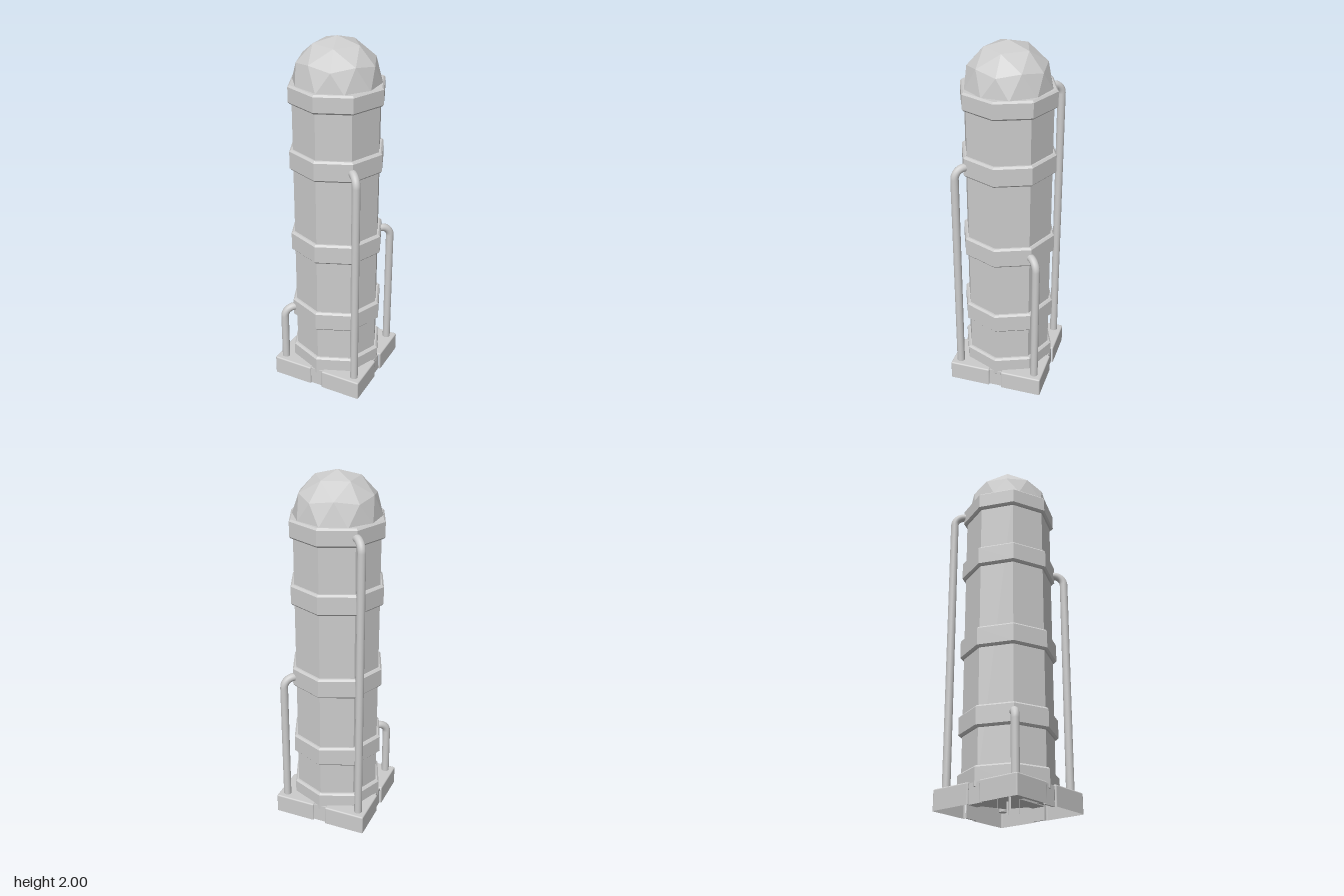
import * as THREE from 'three';
import { RoundedBoxGeometry } from 'three/addons/geometries/RoundedBoxGeometry.js';

const grey = new THREE.MeshStandardMaterial({ color: 0xcccccc });
const greyShell = new THREE.MeshStandardMaterial({ color: 0xcccccc, side: THREE.DoubleSide });

function add(parent, name, geometry, material = grey) {
  const mesh = new THREE.Mesh(geometry, material);
  mesh.name = name;
  parent.add(mesh);
  return mesh;
}

// Faceted normals
function flat(geometry) {
  const g = geometry.index ? geometry.toNonIndexed() : geometry;
  g.computeVertexNormals();
  return g;
}

// Octagonal band with softened edges
function ringGeometry(y0, y1) {
  const b = 0.01, r = 0.262;
  const profile = [[0.2, y0], [r - b, y0], [r, y0 + b], [r, y1 - b], [r - b, y1], [0.2, y1]];
  return flat(new THREE.LatheGeometry(profile.map(p => new THREE.Vector2(...p)), 8));
}

// Corner foot: rounded block, hollow underneath and open towards the centre
function footGeometry() {
  const inner = 0.035, outer = 0.27, h = 0.11, w = outer - inner;
  const src = new RoundedBoxGeometry(w, 2 * h, w, 2, 0.008);
  const p = src.attributes.position, n = src.attributes.normal;
  const pos = [], nor = [];
  for (let i = 0; i < p.count; i += 3) {
    const ids = [i, i + 1, i + 2];
    if (ids.every(k => p.getY(k) <= 0)) continue;
    if (ids.every(k => n.getX(k) < -0.95) || ids.every(k => n.getZ(k) < -0.95)) continue;
    for (const k of ids) {
      pos.push(p.getX(k) + (inner + outer) / 2, Math.max(0, p.getY(k)), p.getZ(k) + (inner + outer) / 2);
      nor.push(n.getX(k), n.getY(k), n.getZ(k));
    }
  }
  const g = new THREE.BufferGeometry();
  g.setAttribute('position', new THREE.Float32BufferAttribute(pos, 3));
  g.setAttribute('normal', new THREE.Float32BufferAttribute(nor, 3));
  return g;
}

// Riser pipe on a corner, bending inwards to the tower at height y
function pipe(name, sx, sz, y) {
  const group = new THREE.Group();
  group.name = name;
  const c = 0.223, r = 0.022, bend = 0.055, y0 = 0.07;
  const at = (d, h) => new THREE.Vector3(sx * d, h, sz * d);
  const riser = new THREE.CylinderGeometry(r, r, y - bend - y0, 14);
  riser.translate(sx * c, (y - bend + y0) / 2, sz * c);
  add(group, 'riser', riser);
  const inner = c - bend / Math.SQRT2;
  const k = 0.45;
  const elbow = new THREE.CubicBezierCurve3(
    at(c, y - bend), at(c, y - bend * k), at(inner + (c - inner) * (1 - k), y), at(inner, y));
  add(group, 'elbow', new THREE.TubeGeometry(elbow, 8, r, 14));
  add(group, 'inlet', new THREE.TubeGeometry(new THREE.LineCurve3(at(inner, y), at(0.155, y)), 1, r, 14));
  return group;
}

export function createModel() {
  const model = new THREE.Group();
  model.name = 'tower';

  // Octagonal body
  const body = new THREE.CylinderGeometry(0.242, 0.242, 1.66, 8);
  body.translate(0, 0.91, 0);
  add(model, 'body', flat(body));

  // Bands around the body
  for (const [y0, y1] of [[0.075, 0.19], [0.385, 0.5], [0.82, 0.935], [1.305, 1.42], [1.67, 1.77]])
    add(model, 'band', ringGeometry(y0, y1));

  // Faceted dome, turned so a vertex sits at the top
  const dome = new THREE.IcosahedronGeometry(0.235, 1);
  dome.rotateZ(-Math.atan(2 / (1 + Math.sqrt(5))));
  dome.translate(0, 1.765, 0);
  add(model, 'dome', flat(dome));

  // Feet and the recessed pieces between them
  const foot = footGeometry();
  for (let i = 0; i < 4; i++) {
    const corner = add(model, 'foot', foot, greyShell);
    corner.rotation.y = i * Math.PI / 2;
    const link = new THREE.BoxGeometry(0.076, 0.105, 0.01);
    link.translate(0, 0.0525, 0.253);
    add(model, 'footLink', link).rotation.y = i * Math.PI / 2;
  }
  for (const turn of [0, Math.PI / 2]) {
    const bar = new THREE.BoxGeometry(0.08, 0.035, 0.5);
    bar.translate(0, 0.0875, 0);
    add(model, 'crossBar', bar).rotation.y = turn;
  }

  // Pipes of different heights on the four corners
  model.add(
    pipe('frontLeftPipe', 1, 1, 1.36),
    pipe('frontRightPipe', -1, 1, 0.445),
    pipe('backLeftPipe', 1, -1, 0.875),
    pipe('backRightPipe', -1, -1, 1.72));

  return model;
}
